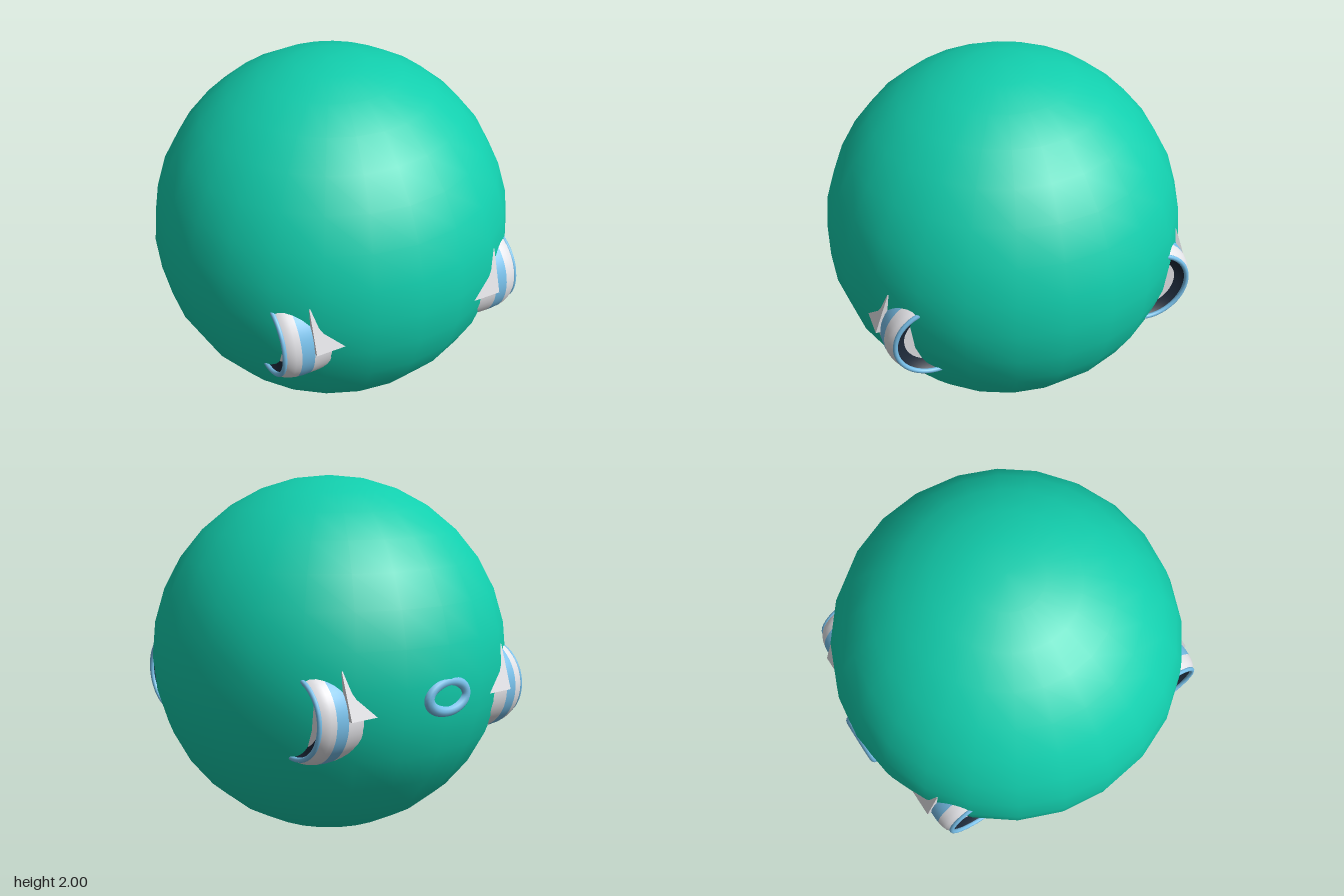
import * as THREE from 'three';

const mat = (color) => new THREE.MeshStandardMaterial({ color, side: THREE.DoubleSide });
const teal = mat(0x12cfae), blue = mat(0x78c0ea), white = mat(0xe4e4e8), dark = mat(0x1c2838);

function part(name, geometry, material) {
  const mesh = new THREE.Mesh(geometry, material);
  mesh.name = name;
  return mesh;
}

// Surface of revolution about the x axis; points are [x, radius]
function turned(points) {
  const profile = points.map(([x, r]) => new THREE.Vector2(r, x));
  return new THREE.LatheGeometry(profile, 48).rotateZ(-Math.PI / 2);
}

// Half-sunk engine pod, opening towards +x
function makePod() {
  const pod = new THREE.Group();
  const barrel = new THREE.Group();
  barrel.name = 'barrel';
  barrel.position.set(0, 0.857, 0.618);
  barrel.add(
    part('innerBand', turned([[0.4, 0.245], [0.48, 0.251], [0.55, 0.253]]), white),
    part('middleBand', turned([[0.55, 0.253], [0.585, 0.253], [0.62, 0.25]]), blue),
    part('outerBand', turned([[0.62, 0.25], [0.65, 0.244], [0.675, 0.234], [0.695, 0.218]]), white),
    part('lip', new THREE.TorusGeometry(0.211, 0.013, 10, 48).rotateY(Math.PI / 2).translate(0.697, 0, 0), blue),
    part('intake', turned([[0.66, 0.155], [0.675, 0.185], [0.695, 0.205]]), dark),
    part('hub', turned([[0.66, 0], [0.66, 0.155]]), white)
  );

  // Pylon with a sloping outer face
  const side = new THREE.Shape([[0.895, 0.867], [0.815, 1.105], [0.6, 1.105], [0.6, 0.867]]
    .map(([z, y]) => new THREE.Vector2(z, y)));
  const pylon = new THREE.ExtrudeGeometry(side, { depth: 0.3, bevelEnabled: false });
  pylon.translate(0, 0, -0.552).rotateY(-Math.PI / 2);
  pod.add(barrel, part('pylon', pylon, white));
  return pod;
}

// Oval ring set into the back of the ball
class OvalCurve extends THREE.Curve {
  getPoint(t, target = new THREE.Vector3()) {
    const a = t * Math.PI * 2;
    return target.set(0.125 * Math.cos(a), 0.076 * Math.sin(a), 0);
  }
}

export function createModel() {
  const model = new THREE.Group();
  model.name = 'ballWithPods';

  const ball = part('ball', new THREE.SphereGeometry(0.998, 24, 16), teal);
  ball.position.y = 1;
  model.add(ball);

  // Four pods, mirrored left to right and front to back
  for (const sx of [1, -1]) {
    for (const sz of [1, -1]) {
      const pod = makePod();
      pod.name = (sz > 0 ? 'front' : 'back') + (sx > 0 ? 'Left' : 'Right') + 'Pod';
      pod.scale.set(sx, 1, sz);
      model.add(pod);
    }
  }

  const ring = part('backRing', new THREE.TubeGeometry(new OvalCurve(), 48, 0.03, 12, true), blue);
  ring.position.set(0, 0.93, -0.971);
  model.add(ring);
  return model;
}
